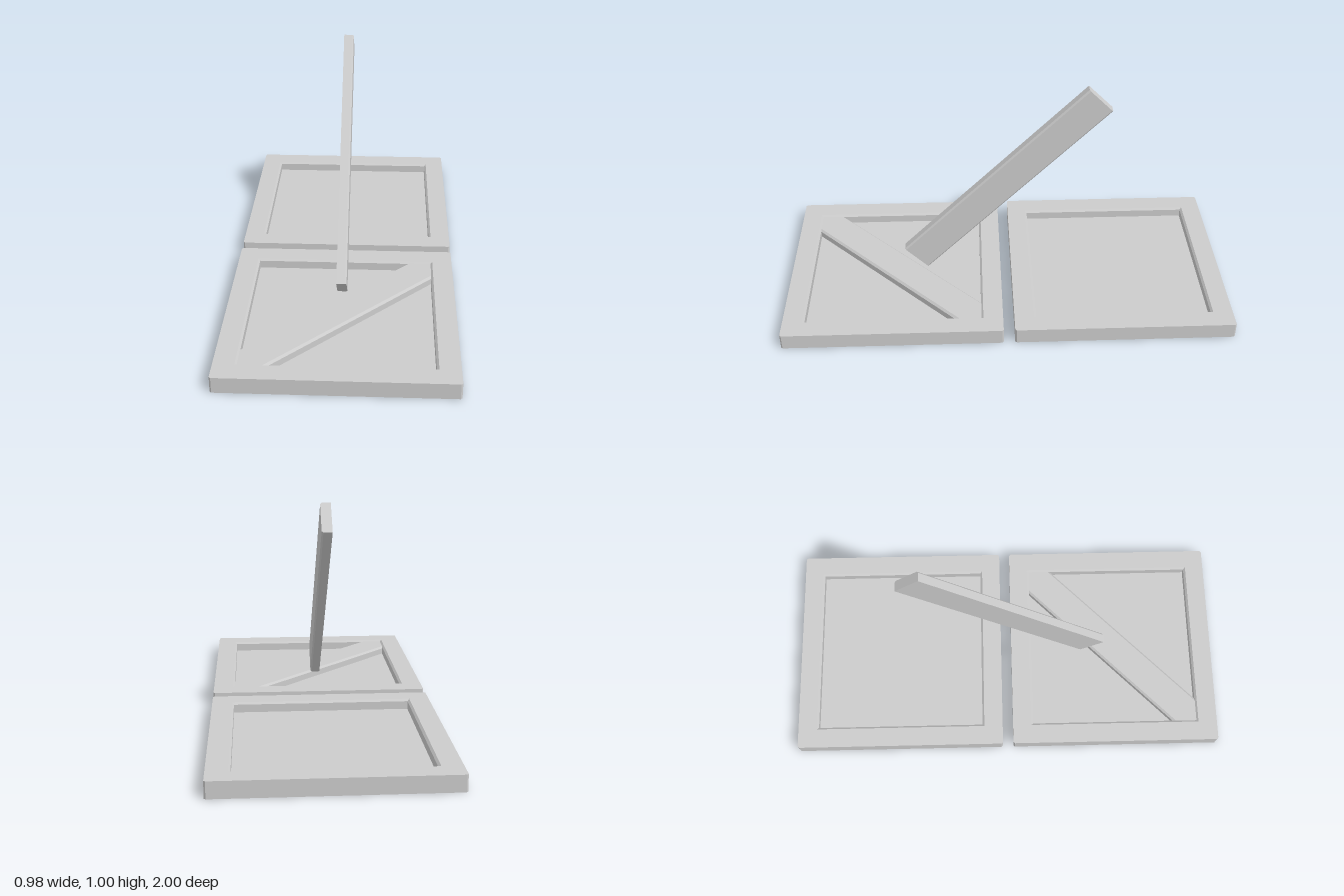
import * as THREE from 'three';

const material = new THREE.MeshStandardMaterial({ color: 0xcccccc, flatShading: true });
const PANEL_X = 0.4875, RECESS = 0.4, HEIGHT = 0.07, FLOOR = 0.025, BEVEL = 0.009;

function add(parent, geometry, name) {
  const mesh = new THREE.Mesh(geometry, material);
  mesh.name = name;
  parent.add(mesh);
  return mesh;
}

// Square outline with slightly cut corners
function outline(r, c) {
  return [[r, c - r], [r, r - c], [r - c, r], [c - r, r], [-r, r - c], [-r, c - r], [c - r, -r], [r - c, -r]]
    .map(([x, y]) => new THREE.Vector2(x, y));
}

// Flat layer between two heights; hole half-size may widen towards the top
function layer(y0, y1, hole0, hole1) {
  const shape = new THREE.Shape(outline(PANEL_X, 0.007));
  if (hole0) {
    const h = hole0;
    shape.holes.push(new THREE.Path([[-h, -h], [-h, h], [h, h], [h, -h]].map(([x, y]) => new THREE.Vector2(x, y))));
  }
  const g = new THREE.ExtrudeGeometry(shape, { depth: y1 - y0, bevelEnabled: false });
  const p = g.attributes.position;
  for (let i = 0; i < p.count; i++) {
    const x = p.getX(i), y = p.getY(i);
    if (hole0 && p.getZ(i) > 1e-5 && Math.max(Math.abs(x), Math.abs(y)) < hole0 + 1e-4) {
      p.setXY(i, Math.sign(x) * hole1, Math.sign(y) * hole1);
    }
  }
  g.rotateX(-Math.PI / 2).translate(0, y0, 0);
  g.computeVertexNormals();
  return g;
}

// Plank: width on x, thickness on y with the upper long edges bevelled, length on z
function plank(width, thickness, length, bevel) {
  const w = width / 2, t = thickness / 2;
  const shape = new THREE.Shape([[-w, -t], [w, -t], [w, t - bevel], [w - bevel, t], [bevel - w, t], [-w, t - bevel]]
    .map(([x, y]) => new THREE.Vector2(x, y)));
  return new THREE.ExtrudeGeometry(shape, { depth: length, bevelEnabled: false }).translate(0, 0, -length / 2);
}

// Turn a plank so its width, thickness and length follow the given directions
function orient(geometry, w, t, l) {
  const [a, b, c] = [w, t, l].map(v => new THREE.Vector3(...v).normalize());
  return geometry.applyMatrix4(new THREE.Matrix4().makeBasis(a, b, c));
}

function panel(name, z) {
  const group = new THREE.Group();
  group.name = name;
  add(group, layer(0, FLOOR), 'panelBoard');
  add(group, layer(FLOOR, HEIGHT - BEVEL, RECESS - BEVEL, RECESS - BEVEL), 'frame');
  add(group, layer(HEIGHT - BEVEL, HEIGHT, RECESS - BEVEL, RECESS), 'frameBevel');
  group.position.z = z;
  return group;
}

export function createModel() {
  const model = new THREE.Group();
  model.name = 'panelsWithPlank';

  // Two framed panels, lying flat with a narrow gap
  const front = panel('frontPanel', 0.5125);
  const back = panel('backPanel', -0.5125);
  model.add(front, back);

  // Diagonal brace in the front panel, its ends tucked under the frame
  const brace = add(front, orient(plank(0.156, 0.044, 1.18, BEVEL), [-1, 0, -1], [0, 1, 0], [1, 0, -1]), 'diagonalBrace');
  brace.position.y = 0.04;

  // Loose plank standing at 45 degrees above the panels
  const loose = add(model, orient(plank(0.15, 0.044, 1.17, 0.007), [0, 1, 1], [1, 0, 0], [0, 1, -1]), 'loosePlank');
  loose.position.set(-0.001, 0.529, 0.003);

  return model;
}
